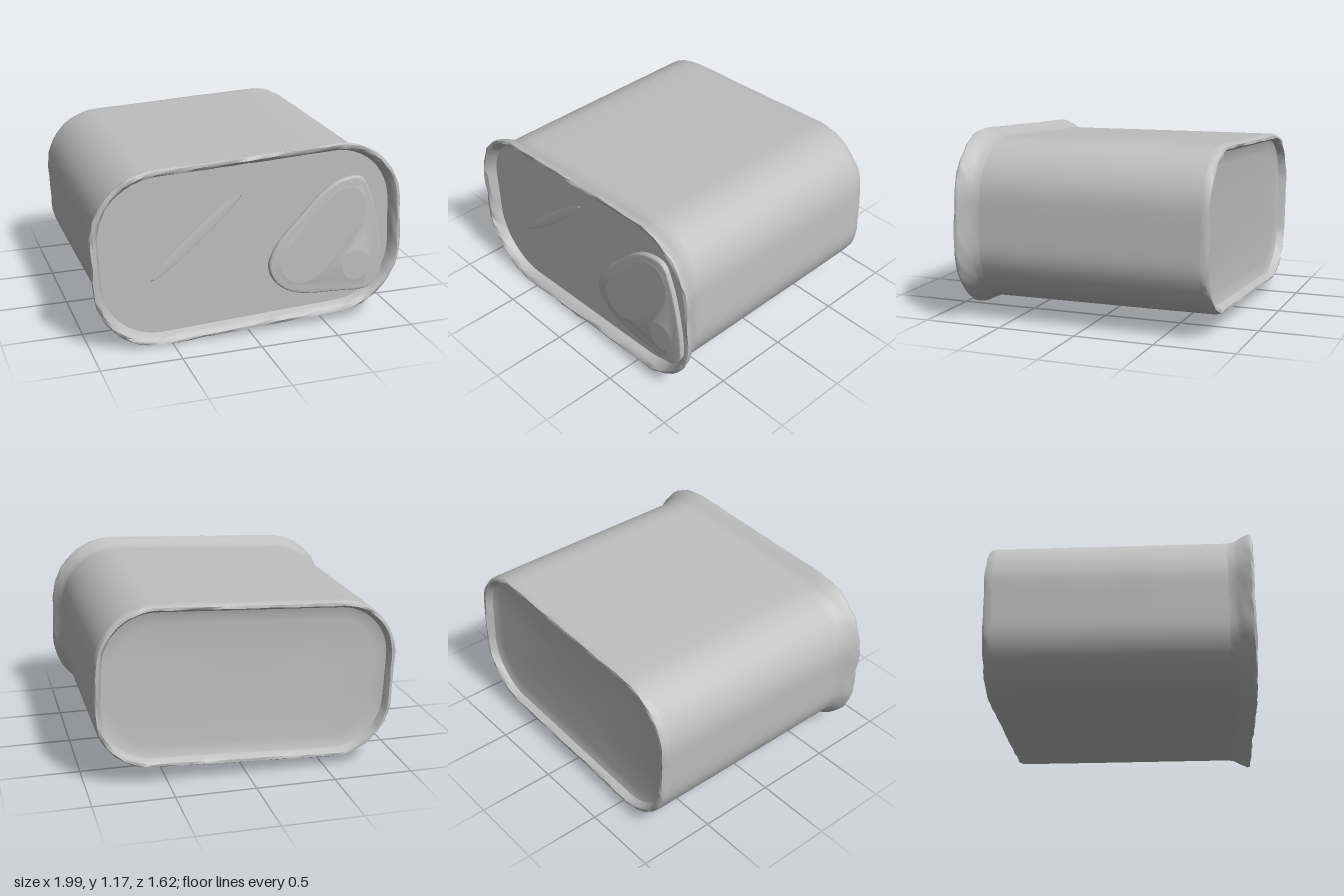
import * as THREE from 'three';
import { toCreasedNormals } from 'three/addons/utils/BufferGeometryUtils.js';

const HALF_W = 0.99, HALF_H = 0.56, RADIUS = 0.42;
const TILT = 0.047, CENTRE_Y = 0.593;
const RISE = 0.005; // the wall climbs slightly towards the back

// Repeatable small dents from a position
function dent(x, y, z) {
  const s = Math.sin(x * 127.1 + y * 311.7 + z * 74.7) * 43758.5453;
  return (s - Math.floor(s) - 0.5) * 2;
}

// Rounded rectangle, counter-clockwise, pulled in by inset
function outline(inset) {
  const w = HALF_W - inset, h = HALF_H - inset, r = RADIUS - inset;
  const arcSteps = 12, pts = [];
  const corners = [[1, 1], [-1, 1], [-1, -1], [1, -1]];
  corners.forEach(([sx, sy], q) => {
    for (let i = 0; i <= arcSteps; i++) {
      const a = (q + i / arcSteps) * Math.PI / 2;
      pts.push([sx * (w - r) + r * Math.cos(a), sy * (h - r) + r * Math.sin(a)]);
    }
    // Subdivide the long straight sides
    if (q % 2 === 0) {
      const y = sy * h;
      for (let i = 1; i < 14; i++) pts.push([sx * (w - r) * (1 - 2 * i / 14), y]);
    } else {
      const x = sx * w;
      for (let i = 1; i < 4; i++) pts.push([x, sy * (h - r) * (1 - 2 * i / 4)]);
    }
  });
  return pts;
}

// Skin a list of rings [inset, z, roughness, scale], ordered front to back
function loft(rings, crease) {
  const pos = [], index = [];
  let n = 0;
  for (const [inset, z, rough = 0, scale = 1] of rings) {
    const pts = outline(inset);
    n = pts.length;
    for (const [x, y] of pts) {
      const d = rough * dent(x, y, z), e = rough * dent(y, z, x);
      pos.push(x * scale * (1 + d), y * scale * (1 + d) + RISE * (0.8 - z), z + e);
    }
  }
  for (let i = 0; i < rings.length - 1; i++) {
    for (let j = 0; j < n; j++) {
      const k = (j + 1) % n;
      const a = i * n + j, b = i * n + k, c = a + n, d = b + n;
      index.push(a, c, b, b, c, d);
    }
  }
  const g = new THREE.BufferGeometry();
  g.setAttribute('position', new THREE.Float32BufferAttribute(pos, 3));
  g.setIndex(index);
  return toCreasedNormals(g, crease);
}

// Smooth closed curve through a few points
function closedPoints(list, steps) {
  const curve = new THREE.CatmullRomCurve3(
    list.map(([x, y]) => new THREE.Vector3(x, y, 0)), true);
  return curve.getPoints(steps).slice(0, -1).map(p => new THREE.Vector2(p.x, p.y));
}

export function createModel() {
  const root = new THREE.Group();
  root.name = 'tinCan';
  const metal = new THREE.MeshStandardMaterial({ color: 0xbfbfbf });
  metal.name = 'grey metal';

  const can = new THREE.Group();
  can.name = 'can';
  can.position.y = CENTRE_Y;
  can.rotation.z = TILT;
  root.add(can);

  const add = (parent, name, geometry) => {
    const mesh = new THREE.Mesh(geometry, metal);
    mesh.name = name;
    parent.add(mesh);
    return mesh;
  };

  // Recessed lid
  add(can, 'frontLid', loft([[0.06, 0.735, 0, 0], [0.06, 0.735]], 0.5));

  // Rolled rim at the front, flaring out of the wall in a hollow curve
  add(can, 'frontRim', loft([
    [0.06, 0.735], [0.05, 0.765, 0.004], [0.038, 0.79, 0.006],
    [0.022, 0.802, 0.005], [0.006, 0.8, 0.005], [0, 0.788, 0.004],
    [0.008, 0.768, 0.004], [0.022, 0.74, 0.004], [0.038, 0.71, 0.003],
    [0.048, 0.685, 0.002], [0.052, 0.65]
  ], 0.7));

  // Straight wall
  add(can, 'body', loft([[0.052, 0.65], [0.051, 0.2], [0.05, -0.3], [0.05, -0.76]], 0.7));

  // Rounded rear edge
  add(can, 'backRim', loft([
    [0.05, -0.76], [0.052, -0.79, 0.003], [0.062, -0.81, 0.004],
    [0.078, -0.81, 0.004], [0.09, -0.79, 0.004], [0.1, -0.765]
  ], 0.7));

  // Slightly dished rear panel
  add(can, 'backPanel', loft([
    [0.1, -0.765], [0.13, -0.755], [0.18, -0.75],
    [0.18, -0.745, 0, 0.5], [0.18, -0.743, 0, 0]
  ], 0.7));

  // Pull tab with a finger opening and a rivet opening
  const tabShape = new THREE.Shape(closedPoints([
    [0.13, 0.42], [0.18, 0.55], [0.33, 0.72], [0.48, 0.87], [0.6, 0.935],
    [0.73, 0.94], [0.8, 0.82], [0.86, 0.6], [0.89, 0.4], [0.88, 0.26],
    [0.8, 0.19], [0.6, 0.19], [0.3, 0.22], [0.17, 0.31]
  ], 72));
  tabShape.holes.push(
    new THREE.Path(closedPoints([
      [0.19, 0.42], [0.25, 0.55], [0.38, 0.7], [0.5, 0.83], [0.6, 0.89],
      [0.7, 0.885], [0.765, 0.81], [0.77, 0.66], [0.67, 0.54], [0.57, 0.41],
      [0.44, 0.29], [0.31, 0.27], [0.22, 0.33]
    ], 64)),
    new THREE.Path(closedPoints([
      [0.6, 0.37], [0.64, 0.45], [0.73, 0.47], [0.81, 0.42],
      [0.81, 0.31], [0.74, 0.245], [0.64, 0.27]
    ], 28)));
  const tab = new THREE.ExtrudeGeometry(tabShape, {
    depth: 0.008, bevelEnabled: true, bevelThickness: 0.018,
    bevelSize: 0.016, bevelOffset: -0.016, bevelSegments: 3
  });
  add(root, 'pullTab', toCreasedNormals(tab, 0.5)).position.z = 0.738;

  // Faint crease pressed into the lid
  const crease = add(root, 'lidCrease', new THREE.SphereGeometry(1, 24, 12));
  crease.position.set(-0.33, 0.66, 0.735);
  crease.rotation.z = 0.72;
  crease.scale.set(0.38, 0.035, 0.003);
  return root;
}
